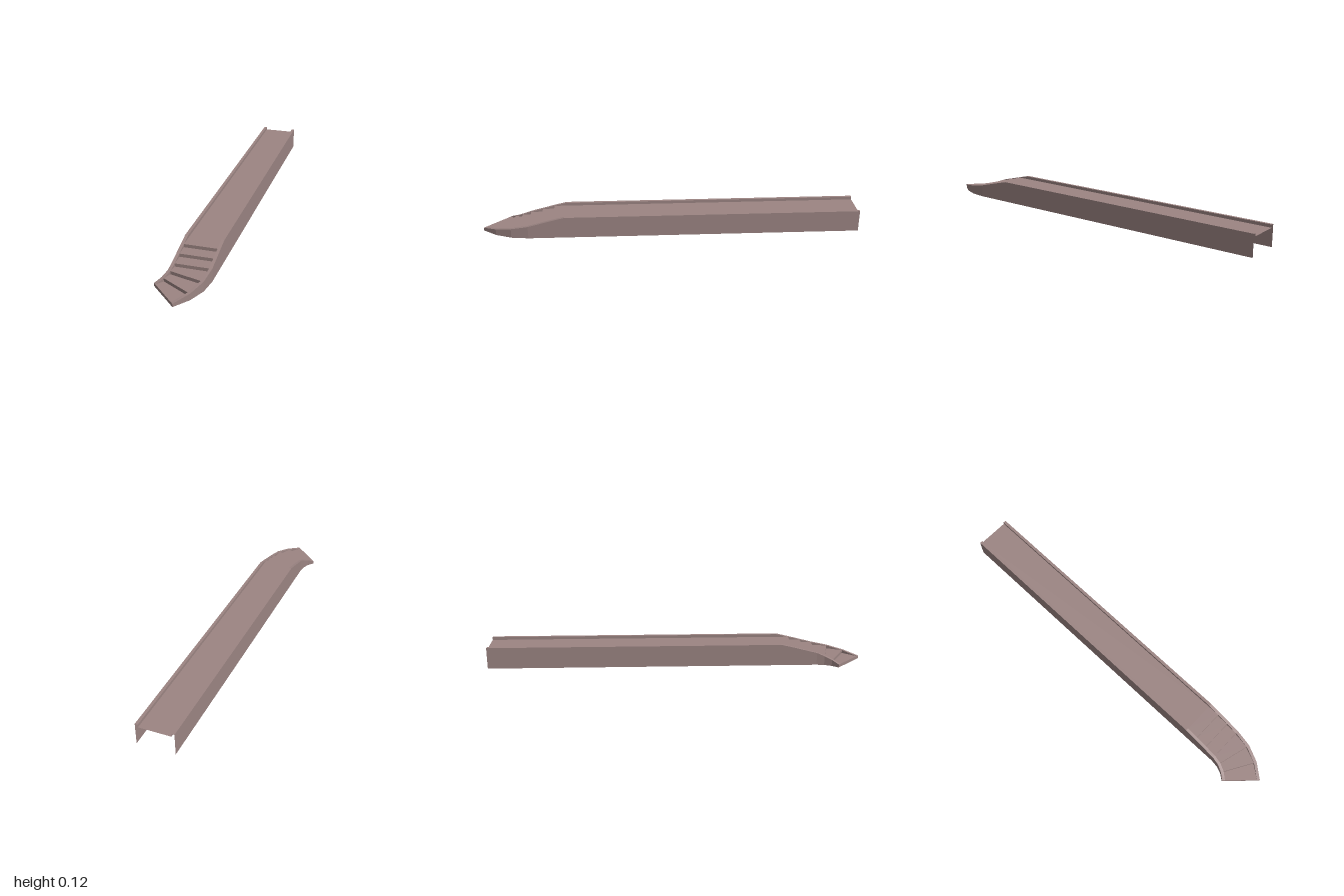
import * as THREE from 'three';

const STEP = 0.0166;                    // riser height
const DECK = 6 * STEP;                  // deck height
const PIVOT = { x: -0.23, z: 0.7525 };  // centre of the turning stair
const R = { outA: 0.155, inA: 0.17, inB: 0.335, outB: 0.35 }; // wall radii from the pivot

// Stations along the ramp: z offset from the pivot, turn angle, parapet top, tread height ahead
const stations = [{ z: -1.7525, turn: 0, top: 0.115, tread: DECK }];
for (let i = 0; i < 4; i++) {
  stations.push({ z: (i - 3) * 0.0642, turn: 0, top: i ? (7 - i) * STEP : 0.115, tread: (6 - i) * STEP });
}
for (let i = 1; i <= 3; i++) {
  stations.push({ z: 0, turn: i * Math.PI / 12, top: (4 - i) * STEP, tread: (3 - i) * STEP });
}

// Point at a station, distance r from the turning axis and height y
const at = (s, r, y) => [
  PIVOT.x + r * Math.cos(s.turn), y, PIVOT.z + s.z + r * Math.sin(s.turn),
];

// Flat-shaded mesh from a list of quads
function sheet(name, quads, material) {
  const positions = quads.flatMap(([a, b, c, d]) => [a, b, c, a, c, d].flat());
  const geometry = new THREE.BufferGeometry();
  geometry.setAttribute('position', new THREE.Float32BufferAttribute(positions, 3));
  geometry.computeVertexNormals();
  const mesh = new THREE.Mesh(geometry, material);
  mesh.name = name;
  return mesh;
}

// Upward-facing strip between two radii
const flat = (s, e, r0, r1, ys, ye) => [at(s, r0, ys), at(e, r0, ye), at(e, r1, ye), at(s, r1, ys)];
// Vertical wall between two stations, facing +x, or -x when flipped
function wall(s, e, r, low, flip) {
  const q = [at(e, r, low), at(s, r, low), at(s, r, s.top), at(e, r, e.top)];
  return flip ? q.reverse() : q;
}
// Front-facing riser at one station
const riser = (s, r0, r1, low, high) => [at(s, r0, low), at(s, r1, low), at(s, r1, high), at(s, r0, high)];

export function createModel() {
  const group = new THREE.Group();
  group.name = 'rampWithStairs';
  const material = new THREE.MeshStandardMaterial({ color: 0x9c8583, side: THREE.DoubleSide, flatShading: true });
  const deck = [], treads = [], risers = [], rightParapet = [], leftParapet = [];

  for (let i = 0; i < stations.length - 1; i++) {
    const s = stations[i], e = stations[i + 1];
    // Level deck first, then the descending treads
    const y = i < 2 ? DECK : s.tread;
    (i < 2 ? deck : treads).push(flat(s, e, R.inA, R.inB, y, y));
    if (i >= 2) risers.push(riser(s, R.inA, R.inB, s.tread, s.tread + STEP));

    // Parapets: outer wall to the ground, sloping cap, inner wall down to the tread
    rightParapet.push(wall(s, e, R.outA, 0, true), flat(s, e, R.outA, R.inA, s.top, e.top), wall(s, e, R.inA, y, false));
    leftParapet.push(wall(s, e, R.outB, 0, false), flat(s, e, R.inB, R.outB, s.top, e.top), wall(s, e, R.inB, y, true));
  }
  // Lowest riser closes the full width
  risers.push(riser(stations.at(-1), R.outA, R.outB, 0, STEP));

  group.add(
    sheet('deck', deck, material),
    sheet('stairTreads', treads, material),
    sheet('stairRisers', risers, material),
    sheet('rightParapet', rightParapet, material),
    sheet('leftParapet', leftParapet, material),
  );
  return group;
}
